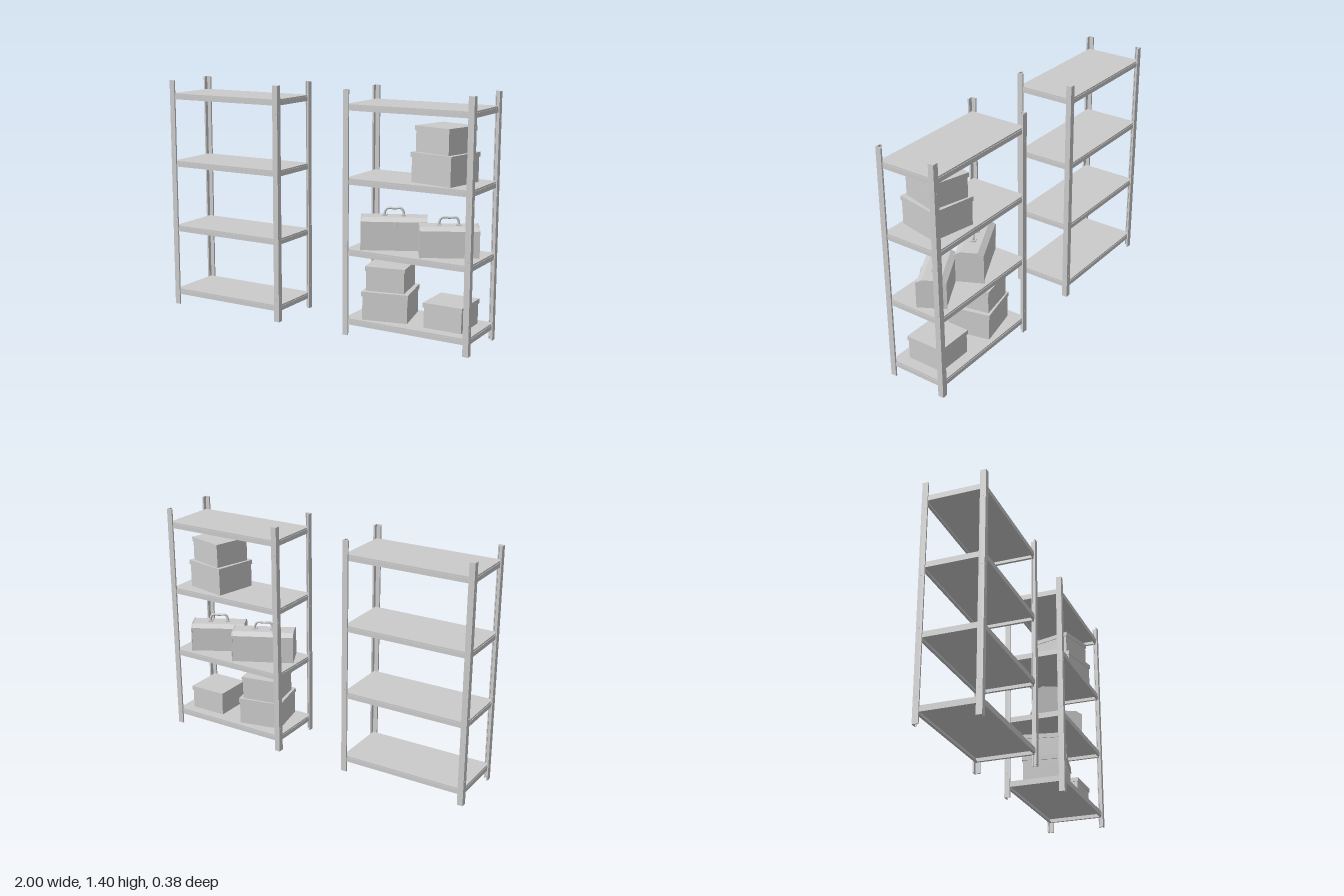
import * as THREE from 'three';

const grey = new THREE.MeshStandardMaterial({ color: 0xcccccc });
const W = 0.782, D = 0.372, H = 1.405; // one shelving unit
const T = 0.006, LEG = 0.034, LIP = 0.01; // post plate, flange and lip
const SHELF_TOPS = [0.099, 0.504, 0.911, 1.325];

function add(parent, name, geometry, x = 0, y = 0, z = 0) {
  const mesh = new THREE.Mesh(geometry, grey);
  mesh.name = name;
  mesh.position.set(x, y, z);
  parent.add(mesh);
  return mesh;
}

const box = (w, h, d) => new THREE.BoxGeometry(w, h, d);

function group(parent, name, x, y, z, turn = 0) {
  const g = new THREE.Group();
  g.name = name;
  g.position.set(x, y, z);
  g.rotation.y = turn;
  parent.add(g);
  return g;
}

// Lipped angle post in the corner given by the signs sx, sz
function post(parent, sx, sz) {
  const profile = [
    [0, 0], [LEG, 0], [LEG, LIP], [LEG - T, LIP], [LEG - T, T], [T, T],
    [T, LEG - T], [LIP, LEG - T], [LIP, LEG], [0, LEG],
  ].map(([a, b]) => new THREE.Vector2(sx * (W / 2 - a), sz * (D / 2 - b)));
  const geo = new THREE.ExtrudeGeometry(new THREE.Shape(profile), { depth: H, bevelEnabled: false });
  geo.rotateX(Math.PI / 2).translate(0, H, 0);
  add(parent, 'post', geo);
  // bolts on both flanges
  for (const y of [0.145, 0.525, 0.83, 1.24]) {
    const alongZ = new THREE.CylinderGeometry(0.005, 0.005, 0.003, 10).rotateX(Math.PI / 2);
    const alongX = new THREE.CylinderGeometry(0.005, 0.005, 0.003, 10).rotateZ(Math.PI / 2);
    add(parent, 'bolt', alongZ, sx * (W / 2 - LEG / 2), y, sz * D / 2);
    add(parent, 'bolt', alongX, sx * W / 2, y, sz * (D / 2 - LEG / 2));
  }
}

// Panel carried by a folded rim with an inward bottom flange
function shelf(parent, top) {
  const g = group(parent, 'shelf', 0, top, 0);
  const w = W - 2 * T, d = D - 2 * T, h = 0.026, flange = 0.016;
  add(g, 'shelfPanel', box(w - 0.006, 0.01, d - 0.006), 0, -0.005, 0);
  for (const s of [-1, 1]) {
    add(g, 'longBeam', box(w, h, 0.005), 0, -0.009 - h / 2, s * (d / 2 - 0.0025));
    add(g, 'longBeamFlange', box(w, 0.004, flange), 0, -0.033, s * (d / 2 - flange / 2));
    add(g, 'sideBeam', box(0.005, h, d), s * (w / 2 - 0.0025), -0.009 - h / 2, 0);
    add(g, 'sideBeamFlange', box(flange, 0.004, d), s * (w / 2 - flange / 2), -0.033, 0);
  }
}

function shelvingUnit(parent, x) {
  const g = group(parent, 'shelvingUnit', x, 0, 0);
  for (const sx of [-1, 1]) for (const sz of [-1, 1]) post(g, sx, sz);
  for (const top of SHELF_TOPS) shelf(g, top);
}

// Carton with a slightly wider lid
function carton(parent, x, y, z, w, h, d, degrees) {
  const g = group(parent, 'storageBox', x, y, z, THREE.MathUtils.degToRad(degrees));
  const lid = 0.027;
  add(g, 'boxBody', box(w - 0.01, h - lid + 0.005, d - 0.01), 0, (h - lid + 0.005) / 2, 0);
  add(g, 'boxLid', box(w, lid, d), 0, h - lid / 2, 0);
}

// Prism along x from points in the (z, y) plane
function prism(points, length) {
  const shape = new THREE.Shape(points.map(([a, b]) => new THREE.Vector2(a, b)));
  const geo = new THREE.ExtrudeGeometry(shape, { depth: length, bevelEnabled: false });
  return geo.translate(0, 0, -length / 2).rotateY(Math.PI / 2);
}

function toolbox(parent, x, y, z, w, h, d, degrees) {
  const g = group(parent, 'toolbox', x, y, z, THREE.MathUtils.degToRad(degrees));
  const r = d / 2, seam = h * 0.78, eave = h * 0.89;
  add(g, 'toolboxBody', box(w - 0.01, seam + 0.005, d - 0.006), 0, (seam + 0.005) / 2, 0);
  const roof = (grow, low) => [
    [-r - grow, low], [r + grow, low], [r + grow, eave + grow],
    [r * 0.6, h + grow], [-r * 0.6, h + grow], [-r - grow, eave + grow],
  ];
  add(g, 'toolboxLid', prism(roof(-0.001, seam), w - 0.008));
  for (const s of [-1, 1]) add(g, 'toolboxEnd', prism(roof(0.002, 0), 0.006), s * (w / 2 - 0.003));

  // carrying handle on two feet
  const hw = 0.053, hy = h + 0.042;
  const path = new THREE.CatmullRomCurve3([
    [-hw, h - 0.004], [-hw, h + 0.02], [-hw * 0.75, hy], [0, hy], [hw * 0.75, hy], [hw, h + 0.02], [hw, h - 0.004],
  ].map(([a, b]) => new THREE.Vector3(a, b, 0)), false, 'centripetal');
  add(g, 'handle', new THREE.TubeGeometry(path, 36, 0.007, 10));
  for (const s of [-1, 1]) add(g, 'handleFoot', box(0.026, 0.01, 0.03), s * hw, h + 0.002, 0);

  // front latch
  add(g, 'latchPlate', box(0.026, 0.05, 0.006), 0, seam - 0.008, r);
  add(g, 'latchTongue', box(0.014, 0.03, 0.008), 0, seam - 0.014, r + 0.004);
}

export function createModel() {
  const model = new THREE.Group();
  model.name = 'shelving';
  for (const s of [-1, 1]) shelvingUnit(model, s * (1 - W / 2));

  // bottom shelf
  carton(model, 0.433, 0.099, 0.004, 0.273, 0.166, 0.266, 12.5);
  carton(model, 0.428, 0.265, -0.003, 0.235, 0.142, 0.235, 10.7);
  carton(model, 0.81, 0.099, -0.003, 0.237, 0.145, 0.237, 0);
  // third shelf
  carton(model, 0.759, 0.911, 0.004, 0.273, 0.167, 0.266, -12);
  carton(model, 0.758, 1.078, 0.002, 0.24, 0.144, 0.236, -15);
  // toolboxes on the second shelf
  toolbox(model, 0.449, 0.504, 0.002, 0.375, 0.186, 0.163, 26.5);
  toolbox(model, 0.788, 0.504, 0.002, 0.328, 0.169, 0.163, 28.5);
  return model;
}
